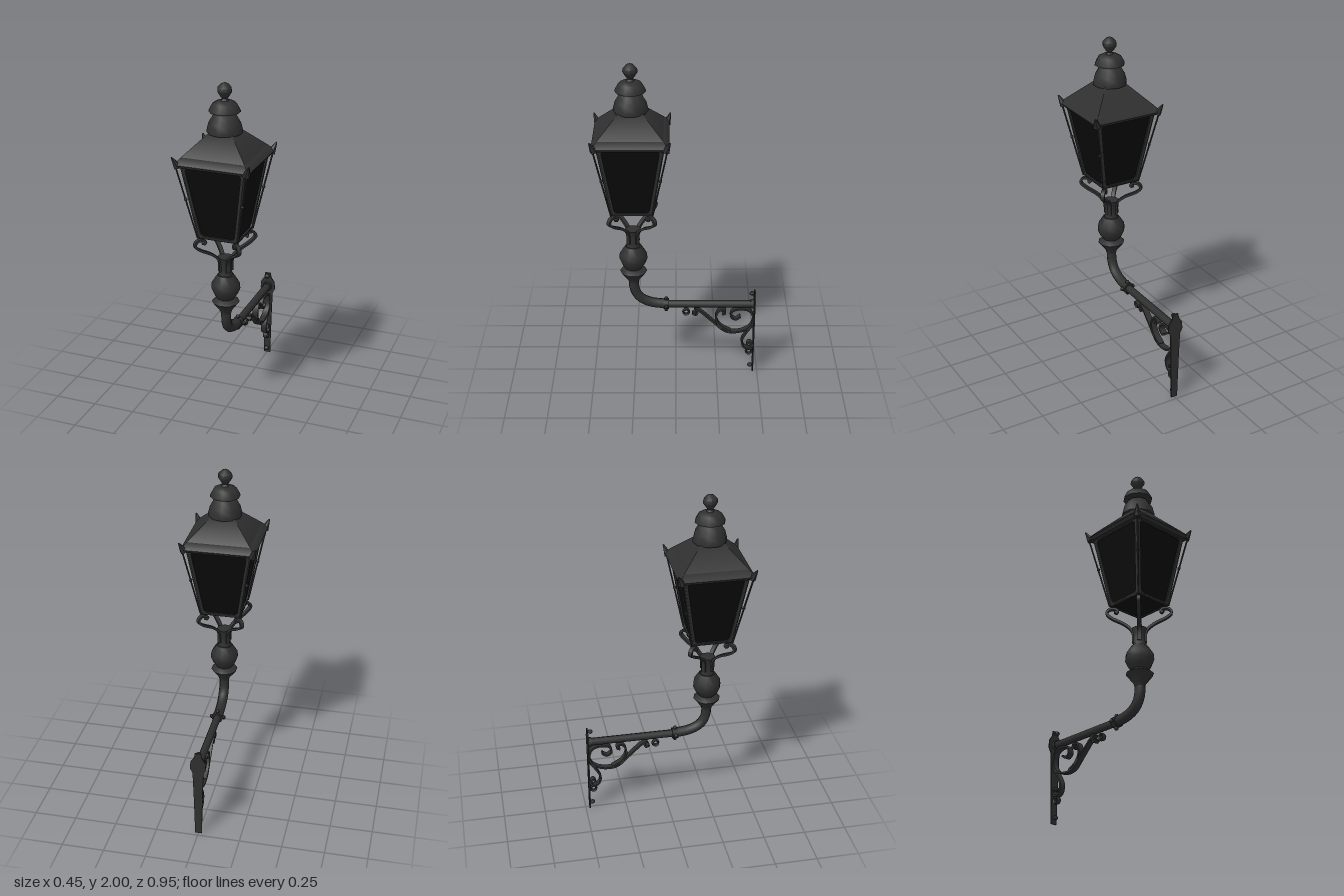
import * as THREE from 'three';
import { toCreasedNormals } from 'three/addons/utils/BufferGeometryUtils.js';

const iron = new THREE.MeshStandardMaterial({ color: 0x2f2f2f });
iron.name = 'cast iron';
const glass = new THREE.MeshStandardMaterial({ color: 0x0a0a0a });
glass.name = 'dark glass';
const LZ = 0.25; // depth of the lantern axis

function part(parent, name, geometry, material = iron) {
  const mesh = new THREE.Mesh(toCreasedNormals(geometry, 0.9), material);
  mesh.name = name;
  parent.add(mesh);
  return mesh;
}

const lathe = (points, sides = 10) =>
  new THREE.LatheGeometry(points.map(([r, y]) => new THREE.Vector2(r, y)), sides);

// Square tapered block between two heights
function taper(h0, y0, h1, y1) {
  const g = new THREE.CylinderGeometry(h1 * Math.SQRT2, h0 * Math.SQRT2, y1 - y0, 4);
  return g.rotateY(Math.PI / 4).translate(0, (y0 + y1) / 2, 0);
}

// Round bar between two points
function bar(a, b, r0, r1 = r0, sides = 6) {
  const p = new THREE.Vector3(...a), q = new THREE.Vector3(...b);
  const d = q.clone().sub(p);
  const g = new THREE.CylinderGeometry(r1, r0, d.length(), sides);
  g.applyQuaternion(new THREE.Quaternion().setFromUnitVectors(new THREE.Vector3(0, 1, 0), d.normalize()));
  return g.translate(...p.add(q).multiplyScalar(0.5).toArray());
}

// Flat strip bent along a curve in the z-y plane, with its width along x
function strip(points, thick, width, steps = 32) {
  const curve = new THREE.SplineCurve(points.map(([z, y]) => new THREE.Vector2(z, y)));
  const one = [], two = [];
  for (let i = 0; i <= steps; i++) {
    const p = curve.getPoint(i / steps), t = curve.getTangent(i / steps);
    const n = new THREE.Vector2(-t.y, t.x).multiplyScalar(thick / 2);
    one.push(p.clone().add(n));
    two.unshift(p.clone().sub(n));
  }
  const g = new THREE.ExtrudeGeometry(new THREE.Shape([...one, ...two]), { depth: width, bevelEnabled: false });
  return g.translate(0, 0, -width / 2).rotateY(-Math.PI / 2);
}

// Trapezoid frame with a round-cornered opening
function paneFrame(b, t, len) {
  const shape = new THREE.Shape([[-b, 0], [b, 0], [t, len], [-t, len]].map(p => new THREE.Vector2(...p)));
  const c = [[-b + 0.014, 0.016], [-t + 0.02, len - 0.016], [t - 0.02, len - 0.016], [b - 0.014, 0.016]]
    .map(p => new THREE.Vector2(...p));
  const hole = new THREE.Path();
  c.forEach((p, i) => {
    const toward = q => p.clone().add(q.clone().sub(p).setLength(0.022));
    const a = toward(c[(i + 3) % 4]), e = toward(c[(i + 1) % 4]);
    if (i === 0) hole.moveTo(a.x, a.y); else hole.lineTo(a.x, a.y);
    hole.quadraticCurveTo(p.x, p.y, e.x, e.y);
  });
  hole.closePath();
  shape.holes.push(hole);
  return new THREE.ExtrudeGeometry(shape, { depth: 0.012, bevelEnabled: false, curveSegments: 5 }).translate(0, 0, -0.006);
}

function makeLantern() {
  const lantern = new THREE.Group();
  lantern.name = 'lantern';
  const b = 0.112, t = 0.182, y0 = 1.13, y1 = 1.57;
  part(lantern, 'glass', taper(b - 0.002, y0 + 0.003, t - 0.002, y1), glass);

  // Four framed sides, with corner rods, horns and scroll arms
  const tilt = Math.atan((t - b) / (y1 - y0));
  for (let i = 0; i < 4; i++) {
    const side = new THREE.Group();
    side.name = 'side';
    side.rotation.y = i * Math.PI / 2;
    lantern.add(side);
    part(side, 'paneFrame', paneFrame(b, t, Math.hypot(t - b, y1 - y0)).rotateX(tilt).translate(0, y0, b));
    part(side, 'bottomRail', bar([-b, y0 + 0.004, b], [b, y0 + 0.004, b], 0.008));
    part(side, 'cornerPost', bar([b, y0, b], [t, y1, t], 0.008));
    part(side, 'cornerRod', bar([0.119, y0, 0.119], [0.207, 1.58, 0.207], 0.005));
    part(side, 'rodKnob', new THREE.SphereGeometry(0.01, 6, 5).translate(0.165, 1.37, 0.165));
    part(side, 'roofHorn', bar([0.196, 1.565, 0.196], [0.22, 1.622, 0.22], 0.024, 0.004));
    const arm = [[0.035, 0.9], [0.04, 0.97], [0.085, 1.015], [0.15, 1.05], [0.184, 1.08], [0.172, 1.108],
      [0.14, 1.112], [0.122, 1.098], [0.135, 1.085]];
    part(side, 'scrollArm', strip(arm, 0.014, 0.024)).rotation.y = Math.PI / 4;
    part(side, 'armCurl', new THREE.SphereGeometry(0.012, 6, 5).translate(0.094, 1.092, 0.094));
  }

  // Roof
  part(lantern, 'eave', taper(0.203, 1.56, 0.215, 1.578));
  part(lantern, 'roofSkirt', taper(0.215, 1.578, 0.182, 1.615));
  part(lantern, 'roof', taper(0.182, 1.615, 0.062, 1.735));
  part(lantern, 'chimneyCaps', lathe([[0, 1.722], [0.098, 1.722], [0.098, 1.737], [0.088, 1.778], [0.062, 1.822],
    [0.045, 1.83], [0.03, 1.83], [0.03, 1.838], [0.087, 1.838], [0.085, 1.85], [0.066, 1.884], [0.04, 1.898], [0, 1.9]]));
  part(lantern, 'finial', lathe([[0, 1.89], [0.025, 1.895], [0.014, 1.91], [0.024, 1.922], [0.042, 1.95],
    [0.04, 1.97], [0.022, 1.99], [0, 2]], 8));
  return lantern;
}

function makeStem() {
  const stem = new THREE.Group();
  stem.name = 'stem';
  part(stem, 'socket', lathe([[0, 0.87], [0.042, 0.87], [0.036, 0.9], [0.036, 0.95], [0.046, 0.985], [0, 0.985]]));
  part(stem, 'bulb', lathe([[0, 0.875], [0.048, 0.875], [0.08, 0.825], [0.083, 0.79], [0.068, 0.755],
    [0.047, 0.725]].reverse()));
  part(stem, 'collar', lathe([[0, 0.63], [0.03, 0.63], [0.036, 0.65], [0.08, 0.707], [0.047, 0.732], [0, 0.732]]));
  return stem;
}

function makeBracket() {
  const bracket = new THREE.Group();
  bracket.name = 'wallBracket';

  // Bent pipe and its rings
  const bend = new THREE.CatmullRomCurve3([[0.65, LZ], [0.58, 0.245], [0.525, 0.215], [0.49, 0.15], [0.477, 0.06]]
    .map(([y, z]) => new THREE.Vector3(0, y, z)));
  part(bracket, 'elbow', new THREE.TubeGeometry(bend, 12, 0.03, 8));
  part(bracket, 'arm', bar([0, 0.475, 0.08], [0, 0.475, -0.47], 0.023, 0.023, 8));
  part(bracket, 'armRing', bar([0, 0.475, 0.04], [0, 0.475, 0.075], 0.034, 0.034, 8));
  part(bracket, 'wallRing', bar([0, 0.475, -0.45], [0, 0.475, -0.474], 0.03, 0.03, 8));
  for (let i = 0; i < 4; i++) {
    const a = i * Math.PI / 2;
    part(bracket, 'ringKnob', new THREE.SphereGeometry(0.013, 6, 5)
      .translate(Math.sin(a) * 0.037, 0.475 + Math.cos(a) * 0.037, 0.058));
  }

  // Wall plate and bolts
  const half = [[0.02, 0], [0.022, 0.1], [0.027, 0.3], [0.032, 0.43], [0.047, 0.46], [0.043, 0.505], [0.022, 0.535], [0.018, 0.565]];
  const outline = [...half, ...half.map(([x, y]) => [-x, y]).reverse()].map(p => new THREE.Vector2(...p));
  part(bracket, 'wallPlate', new THREE.ExtrudeGeometry(new THREE.Shape(outline), { depth: 0.008, bevelEnabled: false })
    .translate(0, 0, -0.478));
  for (const y of [0.035, 0.548])
    part(bracket, 'bolt', new THREE.SphereGeometry(0.016, 8, 6).scale(1, 0.8, 1).translate(0, y, -0.457));

  // Scrollwork below the arm
  const scrolls = {
    brace: [[-0.1, 0.415], [-0.122, 0.405], [-0.132, 0.43], [-0.112, 0.446], [-0.15, 0.425], [-0.23, 0.35], [-0.3, 0.288],
      [-0.38, 0.283], [-0.44, 0.31], [-0.467, 0.36], [-0.455, 0.42], [-0.41, 0.443], [-0.35, 0.435], [-0.332, 0.395],
      [-0.36, 0.372], [-0.39, 0.39]],
    innerScroll: [[-0.33, 0.288], [-0.27, 0.325], [-0.243, 0.38], [-0.258, 0.43], [-0.29, 0.437], [-0.298, 0.415], [-0.28, 0.408]],
    lowerScroll: [[-0.462, 0.325], [-0.425, 0.27], [-0.403, 0.22], [-0.415, 0.175], [-0.45, 0.162], [-0.466, 0.19],
      [-0.447, 0.207], [-0.435, 0.19]],
  };
  for (const [name, points] of Object.entries(scrolls))
    part(bracket, name, strip(points, 0.011, 0.036, 64));
  for (const [y, z] of [[0.42, -0.062], [0.137, -0.448]])
    part(bracket, 'curl', new THREE.TorusGeometry(0.018, 0.007, 5, 10).rotateY(Math.PI / 2).scale(2.2, 1, 1).translate(0, y, z));
  return bracket;
}

export function createModel() {
  const model = new THREE.Group();
  model.name = 'wallLamp';
  const lantern = makeLantern(), stem = makeStem();
  lantern.position.z = stem.position.z = LZ;
  model.add(lantern, stem, makeBracket());
  return model;
}
